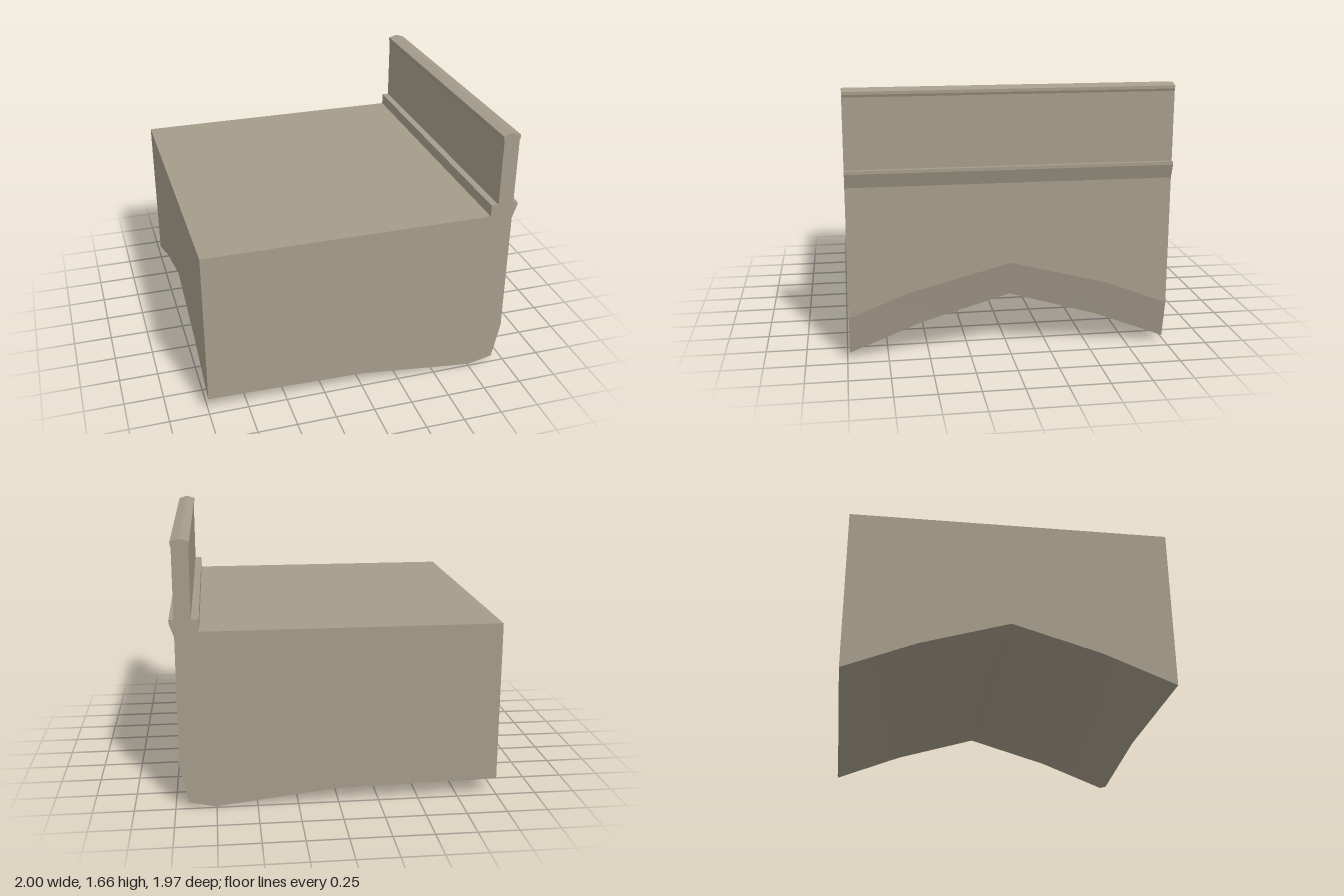
import * as THREE from 'three';

const HALF = 0.985;

// Cross-section, counterclockwise from the inner bottom corner: x, y, arch rise at mid span,
// rise at the arch's haunch, z of the haunch
const section = [
  [-1, 0.11, 0.335, 0.175, 0.545], [0, 0.09, 0.335, 0.175, 0.545],
  [0.76, 0.005, 0.335, 0.175, 0.545], [0.92, 0.04, 0.332, 0.172, 0.545],
  [0.97, 0.28, 0.305, 0.15, 0.6],
  [0.97, 1.085], [1, 1.17], [1, 1.19], [0.97, 1.19],
  [0.97, 1.615], [0.976, 1.63], [0.976, 1.648], [0.92, 1.665],
  [0.865, 1.648], [0.865, 1.63], [0.87, 1.615], [0.87, 1.19],
  [0.825, 1.19], [0.825, 1.115], [-1, 1.115],
];

// One section point followed along the span
function stations([x, y, rise = 0, haunchRise = 0, haunch = 0.545]) {
  return [[-HALF, 0], [-haunch, haunchRise], [0, rise], [haunch, haunchRise], [HALF, 0]]
    .map(([z, dy]) => [x, y + dy, z]);
}

// Surface swept through neighbouring section points, smooth inside itself
function strip(indices) {
  const pos = [], idx = [];
  indices.forEach(i => stations(section[i % section.length]).forEach(p => pos.push(...p)));
  for (let i = 0; i < indices.length - 1; i++) {
    for (let j = 0; j < 4; j++) {
      const a = i * 5 + j, b = a + 5;
      idx.push(a, b, b + 1, a, b + 1, a + 1);
    }
  }
  const geo = new THREE.BufferGeometry();
  geo.setAttribute('position', new THREE.Float32BufferAttribute(pos, 3));
  geo.setIndex(idx);
  geo.computeVertexNormals();
  return geo;
}

export function createModel() {
  const group = new THREE.Group();
  const stone = new THREE.MeshStandardMaterial({ color: 0xa59c8a });
  stone.name = 'stone';
  const add = (name, geo) => {
    const mesh = new THREE.Mesh(geo, stone);
    mesh.name = name;
    group.add(mesh);
    return mesh;
  };

  // Arched underside and the bevel along its outer edge
  add('archUnderside', strip([0, 1, 2, 3]));
  add('archBevel', strip([3, 4]));

  // Flat faces of the wall, ledge, parapet, coping and deck
  const names = ['outerWall', 'ledgeUnderside', 'ledgeFace', 'ledgeTop', 'parapetOuter',
    'copingOuterLip', 'copingOuterEdge', 'copingOuterSlope', 'copingInnerSlope',
    'copingInnerEdge', 'copingInnerLip', 'parapetInner', 'kerbTop', 'kerbFace', 'deck', 'innerWall'];
  names.forEach((name, k) => add(name, strip([k + 4, k + 5])));

  // End faces
  const end = new THREE.ShapeGeometry(
    new THREE.Shape(section.map(([x, y]) => new THREE.Vector2(x, y))));
  add('frontEnd', end).position.z = HALF;
  const back = end.clone();
  const order = Array.from(back.index.array).reverse();
  back.setIndex(order);
  back.computeVertexNormals();
  add('backEnd', back).position.z = -HALF;

  return group;
}
